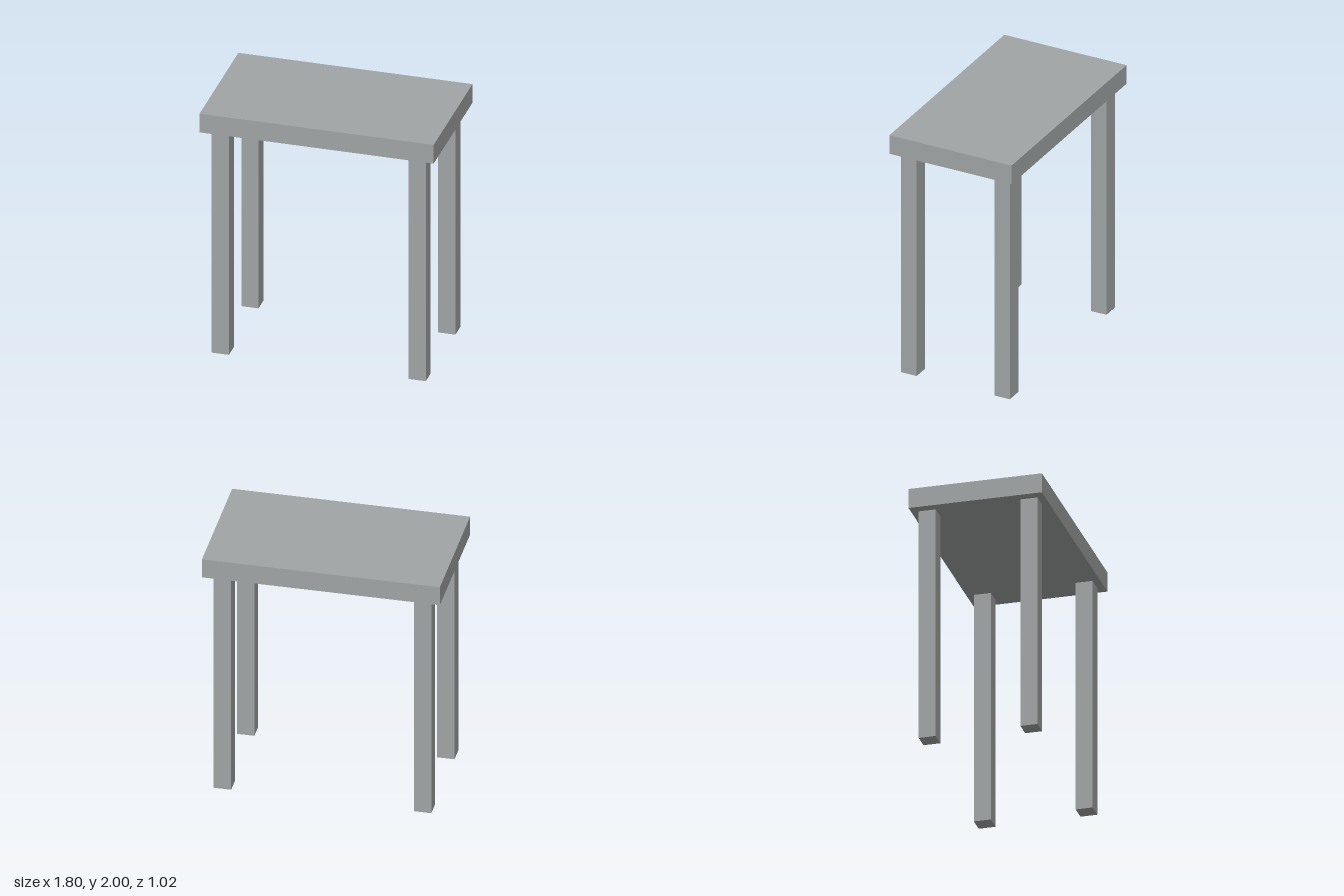
import * as THREE from 'three';

export function createModel() {
  const table = new THREE.Group();
  table.name = 'table';
  const grey = new THREE.MeshStandardMaterial({ color: 0xa0a4a4 });
  grey.name = 'grey';

  const addBox = (name, size, position) => {
    const mesh = new THREE.Mesh(new THREE.BoxGeometry(...size), grey);
    mesh.name = name;
    mesh.position.set(...position);
    table.add(mesh);
  };

  const legHeight = 1.845;
  const topThickness = 2 - legHeight;

  // Slab resting on the legs
  addBox('tableTop', [1.8, topThickness, 1.022], [0, legHeight + topThickness / 2, 0]);

  // Four square legs, set in from the corners
  for (const [sideName, sx] of [['Left', 1], ['Right', -1]]) {
    for (const [endName, sz] of [['front', 1], ['back', -1]]) {
      addBox(`${endName}${sideName}Leg`, [0.132, legHeight, 0.13], [sx * 0.757, legHeight / 2, sz * 0.39]);
    }
  }

  return table;
}
